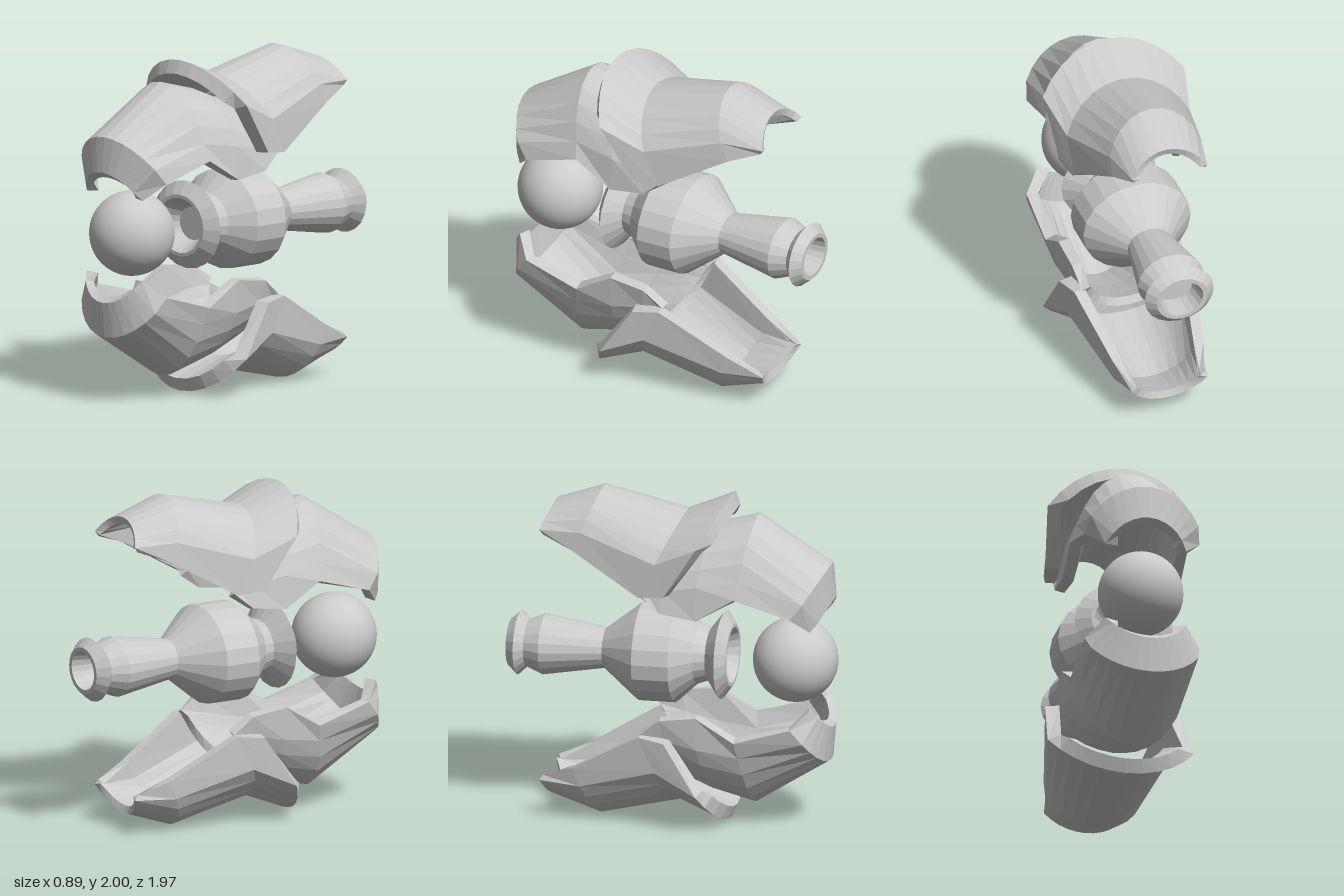
import * as THREE from 'three';

const CENTRE = 1.0; // height of the model's long axis
const ARC = 10; // facets across the arched roof of a shell
const MAX_HALF_ANGLE = THREE.MathUtils.degToRad(70);

const flat = new THREE.MeshStandardMaterial({ color: 0xcccccc, flatShading: true });
const smooth = new THREE.MeshStandardMaterial({ color: 0xcccccc });

function addMesh(parent, name, geometry, material) {
  const mesh = new THREE.Mesh(geometry, material);
  mesh.name = name;
  parent.add(mesh);
  return mesh;
}

// Outline of one section: straight skirt, arch from shoulder to shoulder, straight skirt.
// The arch is circular when shallow and elliptical when tall.
// top = [y, z], side and foot = [x, y, z]
function sectionOutline({ top, side, foot }) {
  const rise = top[0] - side[1];
  const half = Math.min(2 * Math.atan(rise / side[0]), MAX_HALF_ANGLE);
  const points = [new THREE.Vector3(-foot[0], foot[1], foot[2])];
  for (let j = 0; j <= ARC; j++) {
    const a = half * (2 * j / ARC - 1);
    const k = (1 - Math.cos(a)) / (1 - Math.cos(half));
    points.push(new THREE.Vector3(
      side[0] * Math.sin(a) / Math.sin(half), top[0] - rise * k, top[1] + (side[2] - top[1]) * k));
  }
  points.push(new THREE.Vector3(...foot));
  return points;
}

// Thick open shell lofted through sections ordered front to back.
// The inside is offset by the thickness t, or follows a section of its own.
function shellGeometry(sections) {
  const outer = sections.map(sectionOutline);
  const rows = outer.length, cols = outer[0].length;
  const clamp = (v, n) => Math.min(Math.max(v, 0), n - 1);
  const offsetRow = (row, i) => row.map((p, j) => {
    const across = row[clamp(j + 1, cols)].clone().sub(row[clamp(j - 1, cols)]);
    const along = outer[clamp(i + 1, rows)][j].clone().sub(outer[clamp(i - 1, rows)][j]);
    return p.clone().addScaledVector(across.cross(along).normalize(), -sections[i].t);
  });
  const inner = outer.map((row, i) =>
    sections[i].inner ? sectionOutline(sections[i].inner) : offsetRow(row, i));

  const positions = [];
  const quad = (a, b, c, d) => {
    for (const p of [a, b, c, a, c, d]) positions.push(p.x, p.y, p.z);
  };
  // outer skin, inner skin and the two lower edges
  const rings = outer.map((row, i) => [...row, ...inner[i].slice().reverse()]);
  for (let i = 0; i < rows - 1; i++) {
    const n = rings[i].length;
    for (let j = 0; j < n; j++) {
      const k = (j + 1) % n;
      quad(rings[i][j], rings[i][k], rings[i + 1][k], rings[i + 1][j]);
    }
  }
  // front and back rims
  const e = rows - 1;
  for (let j = 0; j < cols - 1; j++) {
    quad(outer[0][j], inner[0][j], inner[0][j + 1], outer[0][j + 1]);
    quad(outer[e][j + 1], inner[e][j + 1], inner[e][j], outer[e][j]);
  }
  const geometry = new THREE.BufferGeometry();
  geometry.setAttribute('position', new THREE.Float32BufferAttribute(positions, 3));
  geometry.computeVertexNormals();
  geometry.translate(0, -CENTRE, 0);
  return geometry;
}

const frontShell = [
  {
    top: [1.39, 0.97], side: [0.21, 1.29, 0.91], foot: [0.245, 1.24, 0.87],
    inner: { top: [1.355, 0.925], side: [0.172, 1.295, 0.88], foot: [0.165, 1.245, 0.85] },
  },
  { top: [1.6, 0.95], side: [0.325, 1.43, 0.84], foot: [0.348, 1.34, 0.77], t: 0.07 },
  { top: [1.88, 0.51], side: [0.32, 1.54, 0.45], foot: [0.352, 1.44, 0.43], t: 0.07 },
  { top: [1.81, 0.25], side: [0.335, 1.5, 0.2], foot: [0.352, 1.3, 0.2], t: 0.07 },
  { top: [1.72, 0.04], side: [0.32, 1.46, 0.0], foot: [0.345, 1.33, -0.02], t: 0.06 },
  { top: [1.67, -0.05], side: [0.3, 1.47, -0.12], foot: [0.325, 1.43, -0.14], t: 0.05 },
];

const rearShell = [
  { top: [1.99, 0.35], side: [0.443, 1.76, 0.22], foot: [0.412, 1.45, 0.02], t: 0.085 },
  { top: [1.88, 0.08], side: [0.385, 1.64, -0.04], foot: [0.375, 1.43, -0.14], t: 0.07 },
  { top: [2.0, -0.42], side: [0.285, 1.78, -0.51], foot: [0.285, 1.67, -0.56], t: 0.06 },
  { top: [1.9, -0.71], side: [0.235, 1.77, -0.765], foot: [0.225, 1.74, -0.745], t: 0.045 },
];

// Core profile as [radius, z], from the rear socket floor to the front socket floor
const coreProfile = [
  [0, -0.84], [0.1, -0.84], [0.115, -0.985], [0.14, -0.985], [0.19, -0.93], [0.14, -0.88],
  [0.18, -0.78], [0.12, -0.41], [0.295, -0.19], [0.295, 0.03], [0.18, 0.15], [0.155, 0.22],
  [0.262, 0.3], [0.185, 0.355], [0.165, 0.355], [0.1, 0.25], [0, 0.25],
];

export function createModel() {
  const model = new THREE.Group();
  model.name = 'limbAssembly';

  // ball in front of the core
  addMesh(model, 'ballJoint', new THREE.SphereGeometry(0.253, 40, 28), smooth)
    .position.set(0, CENTRE, 0.733);

  // turned core, slightly wider than tall
  const core = new THREE.LatheGeometry(coreProfile.map(([r, z]) => new THREE.Vector2(r, z)), 20);
  core.rotateX(Math.PI / 2);
  core.scale(1.14, 1, 1);
  addMesh(model, 'core', core, flat).position.y = CENTRE;

  // two shells above, and the same pair turned half round the long axis below
  const frontGeometry = shellGeometry(frontShell);
  const rearGeometry = shellGeometry(rearShell);
  for (const [name, turn] of [['upper', 0], ['lower', Math.PI]]) {
    const pair = new THREE.Group();
    pair.name = name + 'Shells';
    pair.position.y = CENTRE;
    pair.rotation.z = turn;
    addMesh(pair, name + 'FrontShell', frontGeometry, flat);
    addMesh(pair, name + 'RearShell', rearGeometry, flat);
    model.add(pair);
  }
  return model;
}
